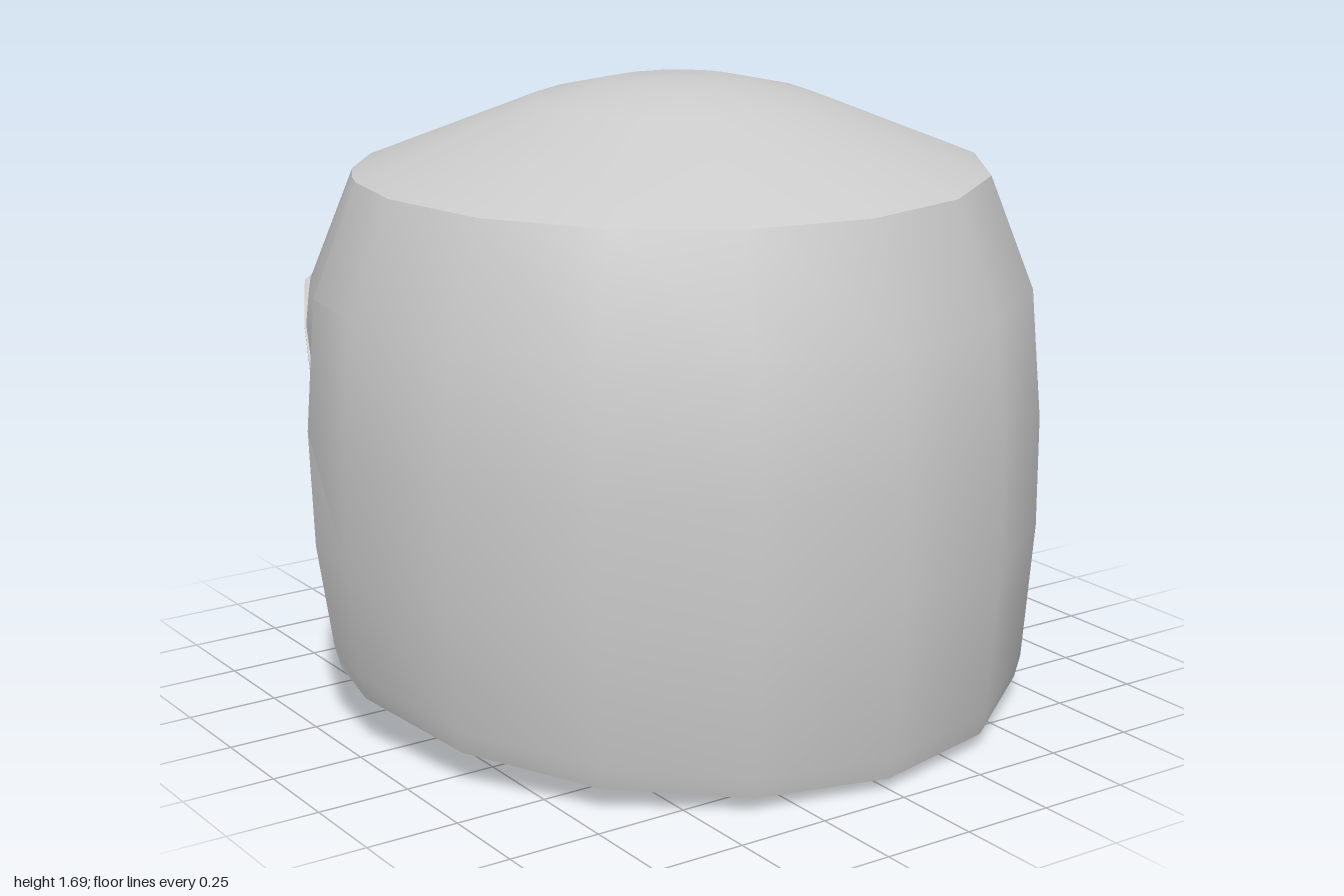
import * as THREE from 'three';
import { toCreasedNormals } from 'three/addons/utils/BufferGeometryUtils.js';

const rad = THREE.MathUtils.degToRad;
const { clamp, lerp } = THREE.MathUtils;

// Columns for one half: [angle from the front, underside height above the opening (null = full wall)]
const half = [
  [0, null], [22.5, null], [45, null], [67.5, null], [90, null], [107, null],
  [107, 0.9], [113, 0.98], [122, 1.07], [137, 1.07], [158, 1.07], [180, 1.07],
];
const mirrored = half.slice(1, -1).reverse().map(([a, b]) => [-a, b]);
const columns = [...half, ...mirrored];

// Outer wall below the brow: down to the rim, or a lip that grows away from the opening's side
function lowerWall(angle, lift, b) {
  if (lift === null) return [[1, 0.8], [1, 0.5], [0.97, b + 0.09], [0.955, b + 0.03], [0.88, b]];
  const inset = clamp((Math.abs(angle) - 107) / 15, 0, 1);
  return [
    [0.98, b + 0.078], [0.985, b + 0.075], [0.985 - 0.025 * inset, b + 0.06],
    [0.985 - 0.035 * inset, b + 0.02], [0.98 - 0.05 * inset, b],
  ];
}

// Cross-section as [radius, height]: dome, wall, rim, then the inside up to the recess
function section([angle, lift]) {
  const b = lift ?? 0.108 - 0.108 * Math.cos(rad(angle));
  return [
    [0, 1.69], [0.19, 1.68], [0.38, 1.637], [0.85, 1.45],
    [0.97, 1.15], ...lowerWall(angle, lift, b),
    [0.77, b + 0.01], [0.77, Math.max(1.04, b + 0.01)], [0.64, 1.18],
    [0.36, 1.18], [0.31, 1.31], [0, 1.31],
  ];
}

// Place a section point; the side edge of the opening is a straight leaning line
function place([r, y], [angle, lift]) {
  let a = rad(angle);
  if (Math.abs(angle) === 107 && lift === null && y < 0.9) {
    const z = lerp(-0.2, -0.33, (y - 0.13) / 0.77);
    a = Math.sign(angle) * Math.acos((z + 0.042) / Math.max(r, 0.95));
  }
  return new THREE.Vector3(
    r * Math.sin(a), y, 0.99 * r * Math.cos(a) - 0.04 * r * Math.sin(a) ** 2 - 0.005);
}

const grid = columns.map((c) => section(c).map((p) => place(p, c)));

// Loft a range of the section around all columns
function loft(name, from, to, material) {
  const positions = [];
  const addTriangle = (a, b, c) => {
    const area = b.clone().sub(a).cross(c.clone().sub(a)).length();
    if (area > 1e-7) for (const p of [a, b, c]) positions.push(p.x, p.y, p.z);
  };
  grid.forEach((col, i) => {
    const next = grid[(i + 1) % grid.length];
    for (let j = from; j < to; j++) {
      addTriangle(col[j], col[j + 1], next[j + 1]);
      addTriangle(col[j], next[j + 1], next[j]);
    }
  });
  const geometry = new THREE.BufferGeometry();
  geometry.setAttribute('position', new THREE.Float32BufferAttribute(positions, 3));
  const mesh = new THREE.Mesh(toCreasedNormals(geometry, rad(35)), material);
  mesh.name = name;
  return mesh;
}

export function createModel() {
  const group = new THREE.Group();
  group.name = 'openShell';
  const material = new THREE.MeshStandardMaterial({ color: 0xcccccc, side: THREE.DoubleSide });
  group.add(
    loft('domeCap', 0, 3, material),
    loft('outerWall', 3, 8, material),
    loft('rimAndOpeningEdge', 8, 10, material),
    loft('innerWall', 10, 12, material),
    loft('ceilingRecess', 12, 15, material),
  );
  return group;
}
